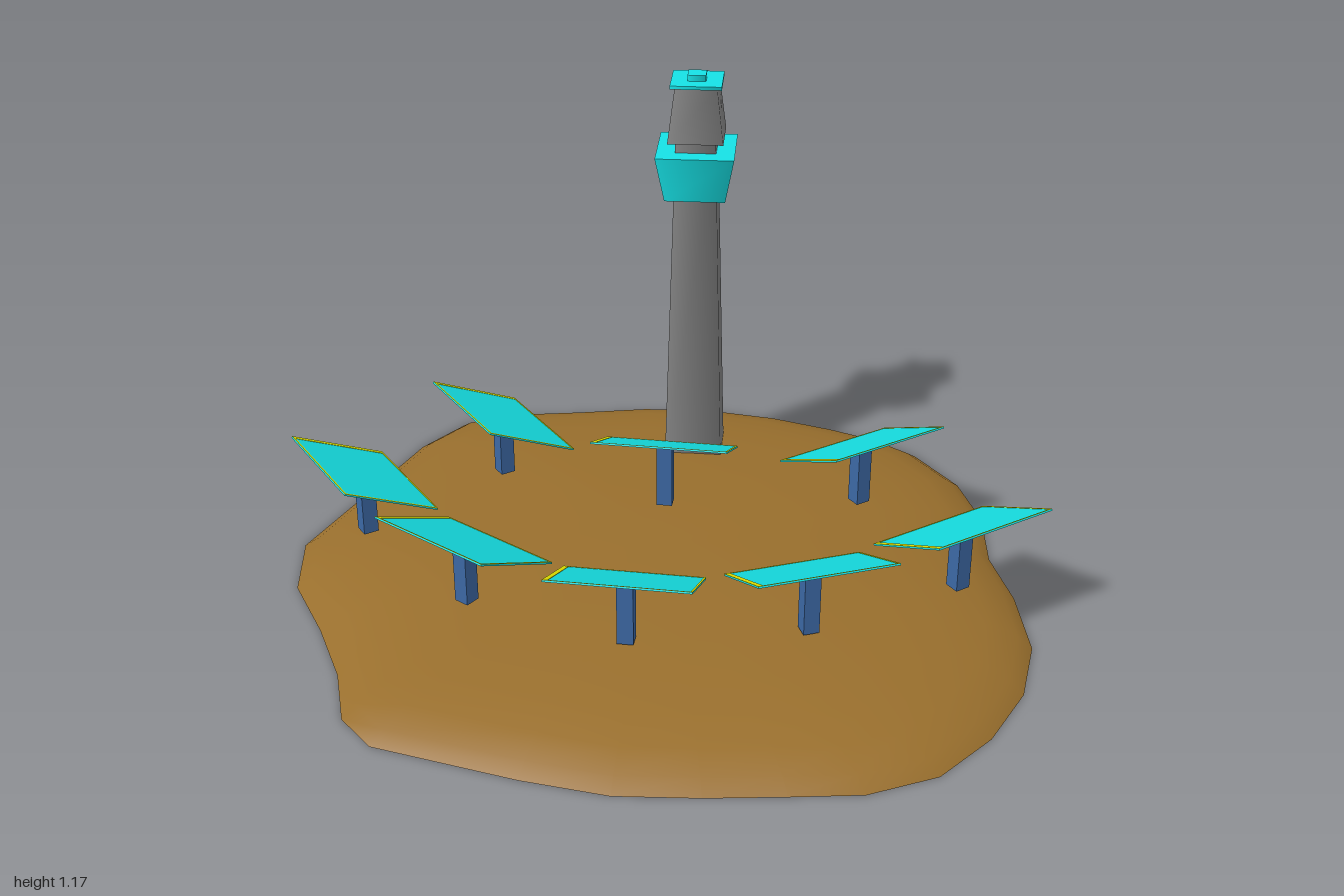
import * as THREE from 'three';

const mat = (name, color) => {
  const m = new THREE.MeshStandardMaterial({ color });
  m.name = name;
  return m;
};
const rad = THREE.MathUtils.degToRad;

// Island outline as x, z pairs, starting at the back and running towards +x
const OUTLINE = [
  -0.17, -1, 0, -0.975, 0.16, -0.91, 0.35, -0.84, 0.525, -0.74, 0.675, -0.61,
  0.795, -0.47, 0.875, -0.36, 0.925, -0.24, 0.94, -0.05, 0.895, 0.13, 0.795, 0.31,
  0.745, 0.49, 0.655, 0.69, 0.525, 0.835, 0.36, 0.94, 0.18, 1, 0, 0.98,
  -0.155, 0.91, -0.325, 0.83, -0.5, 0.735, -0.66, 0.595, -0.915, 0.335, -0.94, 0.21,
  -0.895, 0.04, -0.875, -0.16, -0.87, -0.37, -0.79, -0.56, -0.55, -0.75, -0.325, -0.93,
];

// Open low dome: the outline scaled inwards ring by ring up to the summit
function moundGeometry() {
  const n = OUTLINE.length / 2;
  const rings = [
    [1, 0], [0.96, 0.027], [0.88, 0.052], [0.77, 0.07],
    [0.64, 0.085], [0.4, 0.101], [0.18, 0.106],
  ];
  const pos = [], index = [];
  for (const [s, y] of rings) {
    for (let i = 0; i < n; i++) pos.push(OUTLINE[2 * i] * s, y, OUTLINE[2 * i + 1] * s);
  }
  const top = rings.length * n, last = top - n;
  pos.push(0, 0.107, 0);
  for (let i = 0; i < n; i++) {
    const j = (i + 1) % n;
    for (let r = 0; r < rings.length - 1; r++) {
      const a = r * n + i, b = r * n + j, c = a + n, d = b + n;
      index.push(a, c, b, b, c, d);
    }
    index.push(top, last + j, last + i);
  }
  const g = new THREE.BufferGeometry();
  g.setAttribute('position', new THREE.Float32BufferAttribute(pos, 3));
  g.setIndex(index);
  g.computeVertexNormals();
  return g;
}

// Square frustum with smoothed sides, heights y0 to y1, side lengths s0 to s1
function frustum(name, material, y0, y1, s0, s1) {
  const g = new THREE.CylinderGeometry(s1 * Math.SQRT1_2, s0 * Math.SQRT1_2, y1 - y0, 4);
  g.rotateY(Math.PI / 4);
  const m = new THREE.Mesh(g, material);
  m.name = name;
  m.position.y = (y0 + y1) / 2;
  return m;
}

// Post whose top is cut to the slope of the mirror resting on it
function postGeometry(width, height, tilt) {
  const g = new THREE.BoxGeometry(width, height, width);
  g.translate(0, -height / 2, 0);
  const p = g.attributes.position;
  for (let i = 0; i < p.count; i++) {
    if (p.getY(i) > -height / 2) p.setY(i, p.getZ(i) * Math.tan(tilt) - 0.002);
  }
  g.computeVertexNormals();
  return g;
}

export function createModel() {
  const soil = mat('soil brown', 0x996f2d);
  soil.side = THREE.DoubleSide;
  const concrete = mat('concrete grey', 0x808080);
  const cyan = mat('mirror cyan', 0x16e1e5);
  const blue = mat('post blue', 0x3c68a4);
  const yellow = mat('rim yellow', 0xf0f000);

  const model = new THREE.Group();
  model.name = 'solarTowerIsland';

  const mound = new THREE.Mesh(moundGeometry(), soil);
  mound.name = 'mound';
  model.add(mound);

  // Tower with receiver collar and cap, its foot just under the soil
  const tower = new THREE.Group();
  tower.name = 'tower';
  tower.position.set(0.325, 0, -0.468);
  tower.rotation.y = rad(-31);
  tower.add(
    frustum('column', concrete, 0.07, 1.0, 0.156, 0.106),
    frustum('collar', cyan, 0.845, 0.97, 0.16, 0.206),
    frustum('towerHead', concrete, 1.0, 1.146, 0.146, 0.11),
    frustum('roofPlate', cyan, 1.146, 1.155, 0.134, 0.134),
    frustum('roofHub', cyan, 1.155, 1.171, 0.048, 0.048),
  );
  model.add(tower);

  // Mirrors on posts: x, z, mid height, yaw in degrees (low edge towards the tower)
  const mirrors = [
    [-0.66, -0.405, 0.268, -85], [-0.225, -0.535, 0.268, -85],
    [-0.55, 0.015, 0.268, -64.5], [-0.275, 0.345, 0.268, -35],
    [0.052, -0.105, 0.322, -35], [0.132, 0.5, 0.268, -10],
    [0.558, 0.5, 0.268, 5], [0.558, 0.035, 0.268, 5],
  ];
  const W = 0.346, D = 0.27, T = 0.004, TILT = rad(25.5);
  const panelGeo = new THREE.BoxGeometry(W, T, D);
  const postGeo = postGeometry(0.04, 0.168, TILT);
  // Rim strips on the mirror face: x, z, width, depth
  const rims = [
    [-W / 2 + 0.0065, 0, 0.013, D], [W / 2 - 0.0025, 0, 0.005, D],
    [0, D / 2 - 0.0025, W, 0.005], [0, -D / 2 + 0.0025, W, 0.005],
  ].map(([x, z, w, d]) => new THREE.BoxGeometry(w, 0.001, d).translate(x, T / 2 + 0.0005, z));

  for (const [x, z, y, yaw] of mirrors) {
    const unit = new THREE.Group();
    unit.name = 'mirrorUnit';
    unit.position.set(x, y, z);
    unit.rotation.y = rad(yaw);

    const post = new THREE.Mesh(postGeo, blue);
    post.name = 'post';

    const panel = new THREE.Mesh(panelGeo, cyan);
    panel.name = 'mirrorPanel';
    panel.rotation.x = -TILT;
    for (const geo of rims) {
      const rim = new THREE.Mesh(geo, yellow);
      rim.name = 'mirrorRim';
      panel.add(rim);
    }

    unit.add(post, panel);
    model.add(unit);
  }
  return model;
}
